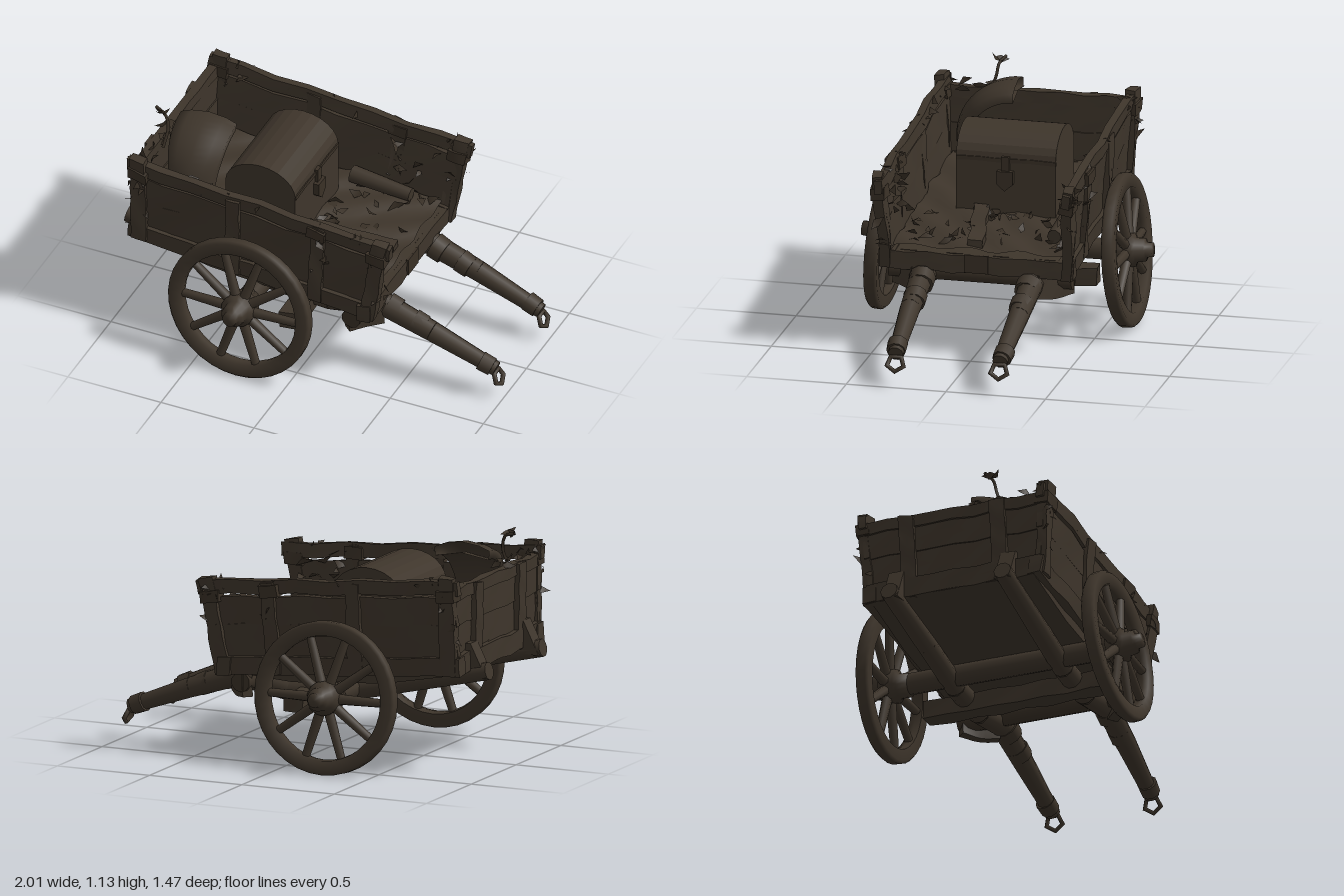
import * as THREE from 'three';
import { mergeGeometries } from 'three/addons/utils/BufferGeometryUtils.js';

const wood = new THREE.MeshStandardMaterial({ color: 0x3e352b, side: THREE.DoubleSide });
wood.name = 'weathered wood';
const dark = new THREE.MeshStandardMaterial({ color: 0x393026, side: THREE.DoubleSide });
dark.name = 'dark wood';

const V = (x, y, z) => new THREE.Vector3(x, y, z);
let seed = 7;
const rnd = () => (seed = (seed * 16807) % 2147483647) / 2147483647;
const span = (a, b) => a + (b - a) * rnd();

export function createModel() {
  const root = new THREE.Group();
  root.name = 'handcart';

  const add = (name, geo, mat = wood, parent = root) => {
    const m = new THREE.Mesh(geo, mat);
    m.name = name;
    parent.add(m);
    return m;
  };

  // Uneven, hand-hewn surface: the same position always gets the same offset
  const hew = (geo, amt) => {
    const p = geo.attributes.position;
    for (let i = 0; i < p.count; i++) {
      const x = p.getX(i), y = p.getY(i), z = p.getZ(i);
      p.setXYZ(i, x + amt * 0.5 * Math.sin(40 * y + 31 * z),
        y + amt * Math.sin(19 * x + 23 * z + 1), z + amt * Math.sin(27 * x + 11 * y));
    }
    geo.computeVertexNormals();
    return geo;
  };

  // Plank from a to b; h is measured along up, w across it
  const beam = (name, a, b, h, w, up = V(0, 1, 0), mat = wood, amt = 0.006) => {
    const x = b.clone().sub(a), len = x.length();
    x.normalize();
    const z = x.clone().cross(up).normalize(), y = z.clone().cross(x);
    const g = new THREE.BoxGeometry(len, h, w, 8, 2, 1);
    g.applyMatrix4(new THREE.Matrix4().makeBasis(x, y, z));
    g.translate((a.x + b.x) / 2, (a.y + b.y) / 2, (a.z + b.z) / 2);
    return add(name, hew(g, amt), mat);
  };

  // Round timber from a to b
  const log = (name, a, b, r1, r2, mat = wood, sides = 10, parent = root) => {
    const d = b.clone().sub(a);
    const g = new THREE.CylinderGeometry(r2, r1, d.length(), sides, 4);
    g.applyQuaternion(new THREE.Quaternion().setFromUnitVectors(V(0, 1, 0), d.normalize()));
    g.translate((a.x + b.x) / 2, (a.y + b.y) / 2, (a.z + b.z) / 2);
    return add(name, g, mat, parent);
  };

  const extrude = (pts, z0, z1) => {
    const s = new THREE.Shape(pts.map(([x, y]) => new THREE.Vector2(x, y)));
    return new THREE.ExtrudeGeometry(s, { depth: z1 - z0, bevelEnabled: false }).translate(0, 0, z0);
  };

  // The bed slopes down towards the shafts; the sides lean outwards
  const yAt = (x, h) => h - 0.085 * x;
  const zAt = h => 0.44 + (h - 0.5) * 0.08;
  const onSide = (x, h, s, out = 0) => V(x, yAt(x, h), s * (zAt(h) + out));

  // Bed with a shallow sagging underside, covered by uneven straw
  add('bed', extrude([[-0.91, 0.52], [-0.5, 0.44], [0.0, 0.4], [0.33, 0.42], [0.36, 0.5], [-0.9, 0.61]], -0.43, 0.43));
  const straw = new THREE.PlaneGeometry(1.24, 0.86, 24, 18).rotateX(-Math.PI / 2).rotateZ(-0.085);
  add('strawLayer', hew(straw, 0.01)).position.set(-0.27, 0.573, 0);
  beam('frontBeam', V(0.35, 0.455, -0.49), V(0.35, 0.455, 0.49), 0.09, 0.07);
  beam('axleBolster', V(-0.04, 0.31, -0.51), V(-0.04, 0.31, 0.51), 0.09, 0.1);
  log('frontRoller', V(0.27, 0.38, -0.46), V(0.27, 0.38, 0.46), 0.05, 0.05, dark);
  beam('rearBeam', V(-0.88, 0.57, -0.46), V(-0.88, 0.57, 0.46), 0.1, 0.07);
  beam('frontPlate', V(0.388, 0.46, -0.06), V(0.388, 0.46, 0.06), 0.09, 0.012, V(0, 1, 0), dark, 0);

  // Sides: boards, top rail and posts
  for (const s of [1, -1]) {
    const lean = V(0, 1, s * 0.08);
    beam('sill', onSide(-0.92, 0.49, s), onSide(0.38, 0.49, s), 0.09, 0.07, lean);
    beam('lowerBoard', onSide(-0.9, 0.61, s), onSide(0.39, 0.61, s), 0.17, 0.028, lean);
    beam('upperBoard', onSide(-0.9, 0.765, s), onSide(0.42, 0.765, s), 0.14, 0.03, lean);
    beam('topRail', onSide(-0.92, 0.885, s), onSide(0.49, 0.885, s), 0.07, 0.04, lean);
    for (const [x, top, dx, w] of [[-0.86, 0.94, 0, 0.08], [-0.36, 0.9, 0.01, 0.075],
      [0.08, 0.91, 0.03, 0.07], [0.36, 0.935, 0.08, 0.075]])
      beam('sidePost', onSide(x, 0.45, s, 0.018), onSide(x + dx, top, s, 0.005), w, 0.05, V(1, 0, 0));
    // Rope lashings around the posts
    for (const [x, h] of [[-0.86, 0.85], [0.1, 0.87], [0.42, 0.84]])
      beam('lashing', onSide(x - 0.05, h, s, 0.006), onSide(x + 0.05, h, s, 0.006), 0.06, 0.07, lean, dark);
  }

  // Tailgate
  for (const [y, h, w] of [[0.69, 0.15, 0.03], [0.83, 0.13, 0.03], [0.925, 0.06, 0.045]])
    beam('tailgateBoard', V(-0.87 - (y - 0.6) * 0.05, y, -0.46), V(-0.87 - (y - 0.6) * 0.05, y, 0.46), h, w);
  for (const z of [-0.24, 0.24]) beam('tailgatePost', V(-0.89, 0.52, z), V(-0.905, 0.95, z), 0.08, 0.04, V(0, 0, 1));

  // Bowed shafts with bindings and end rings
  for (const s of [1, -1]) {
    const path = [[-1, 0.525, 0.3], [-0.55, 0.425, 0.29], [-0.2, 0.345, 0.285], [0.08, 0.325, 0.28],
      [0.36, 0.38, 0.275], [0.62, 0.29, 0.272], [0.96, 0.16, 0.262]];
    const rad = [0.045, 0.05, 0.052, 0.055, 0.06, 0.052, 0.038];
    const pts = path.map(([x, y, z]) => V(x, y, s * z));
    for (let i = 0; i < 6; i++) log('shaft', pts[i], pts[i + 1], rad[i], rad[i + 1]);
    for (const [x, y, r] of [[0.41, 0.365, 0.066], [0.55, 0.315, 0.059], [0.91, 0.18, 0.05]])
      log('shaftBinding', V(x - 0.03, y + 0.012, s * 0.27), V(x + 0.03, y - 0.012, s * 0.265), r, r * 0.95);
    add('shaftTail', extrude([[-1, 0.49], [-0.88, 0.5], [-0.88, 0.66], [-0.915, 0.66]], s * 0.295 - 0.04, s * 0.295 + 0.04));
    const ring = add('shaftRing', new THREE.TorusGeometry(0.04, 0.012, 6, 5).rotateZ(-Math.PI / 2).scale(1.1, 1, 1).rotateX(-0.4).rotateY(Math.PI / 2));
    ring.position.set(0.972, 0.115, s * 0.26);
    beam('shaftBracket', V(0.24, 0.36, s * 0.44), V(0.37, 0.36, s * 0.3), 0.12, 0.05);
  }

  // Axle and cambered wheels
  log('axle', V(-0.26, 0.375, -0.52), V(-0.26, 0.375, 0.52), 0.055, 0.055);
  for (const s of [1, -1]) {
    const turn = new THREE.Group();
    turn.name = 'wheelMount';
    turn.position.set(-0.26, 0.378, 0);
    turn.rotation.y = s > 0 ? 0 : Math.PI;
    const wheel = new THREE.Group();
    wheel.name = 'wheel';
    wheel.position.z = 0.597;
    wheel.rotation.x = -0.088;
    turn.add(wheel);
    root.add(turn);
    const rim = [[0.308, -0.03], [0.366, -0.034], [0.379, -0.02], [0.379, 0.02], [0.366, 0.034], [0.308, 0.03], [0.303, 0], [0.308, -0.03]]
      .map(([r, y]) => new THREE.Vector2(r, y));
    add('rim', new THREE.LatheGeometry(rim, 36).rotateX(Math.PI / 2), wood, wheel);
    for (let i = 0; i < 10; i++) {
      const a = i * Math.PI / 5;
      log('spoke', V(0.04 * Math.cos(a), 0.04 * Math.sin(a), 0.01),
        V(0.32 * Math.cos(a), 0.32 * Math.sin(a), 0), 0.027, 0.021, wood, 7, wheel);
    }
    const hub = [[0, -0.1], [0.06, -0.1], [0.062, -0.045], [0.085, -0.035], [0.085, 0.04], [0.062, 0.05],
      [0.058, 0.095], [0.038, 0.1], [0.036, 0.133], [0, 0.135]].map(([r, y]) => new THREE.Vector2(r, y));
    add('hub', new THREE.LatheGeometry(hub, 14).rotateX(Math.PI / 2), wood, wheel);
  }

  // Chest with a domed lid
  const dome = (x0, x1, yb, ys, yt) => {
    const pts = [[x0, yb], [x1, yb]];
    for (let i = 0; i <= 12; i++) {
      const a = i * Math.PI / 12;
      pts.push([(x0 + x1) / 2 + (x1 - x0) / 2 * Math.cos(a), ys + (yt - ys) * Math.sin(a)]);
    }
    return pts;
  };
  add('chest', extrude(dome(-0.51, -0.135, 0.54, 0.83, 0.97), -0.27, 0.23));
  beam('lidSeam', V(-0.137, 0.83, -0.27), V(-0.137, 0.83, 0.23), 0.02, 0.012, V(0, 1, 0), dark, 0.002);
  beam('claspStrap', V(-0.13, 0.75, -0.02), V(-0.13, 0.85, -0.02), 0.04, 0.02, V(0, 0, 1), dark, 0);
  const lock = extrude([[-0.04, 0.78], [-0.04, 0.715], [0, 0.68], [0.04, 0.715], [0.04, 0.78]], 0, 0.03);
  add('claspLock', lock.rotateY(Math.PI / 2).translate(-0.135, 0, -0.02), dark);

  // Curved piece of a broken barrel, narrowing towards the side
  const stave = [[0.22, -0.14], [0.265, -0.145], [0.287, -0.09], [0.3, 0], [0.287, 0.09], [0.265, 0.145], [0.22, 0.14], [0.245, 0], [0.22, -0.14]]
    .map(([r, y]) => new THREE.Vector2(r, y));
  const shell = new THREE.LatheGeometry(stave, 18, -0.7, 2.3).rotateZ(Math.PI / 2);
  const sp = shell.attributes.position;
  for (let i = 0; i < sp.count; i++) sp.setX(i, sp.getX(i) * (1 - 0.45 * (sp.getZ(i) / 0.3) ** 4));
  shell.computeVertexNormals();
  const barrel = add('brokenBarrel', shell);
  barrel.position.set(-0.68, 0.77, 0.06);
  barrel.rotation.y = 0.06;

  // Loose cargo
  beam('loosePlank', V(-0.13, 0.58, 0.1), V(0.31, 0.535, 0.02), 0.04, 0.075);
  log('bundle', V(-0.1, 0.6, -0.36), V(0.22, 0.575, -0.35), 0.045, 0.035);

  // Leaves: bent diamonds scattered on rails, posts and floor
  const leaves = [];
  const leaf = (p, size) => {
    const g = new THREE.PlaneGeometry(size, size * 0.5, 2, 2);
    const q = g.attributes.position;
    for (let i = 0; i < q.count; i++) {
      const t = Math.abs(q.getX(i)) / size * 2;
      q.setY(i, q.getY(i) * (1 - t));
      q.setZ(i, -0.2 * size * t);
    }
    g.computeVertexNormals();
    g.rotateX(span(0, 6)).rotateY(span(0, 6)).rotateZ(span(-1, 1)).translate(p.x, p.y, p.z);
    leaves.push(g);
  };
  for (const s of [1, -1]) {
    for (let i = 0; i < 16; i++) leaf(onSide(span(-0.9, 0.45), span(0.87, 0.92), s, span(-0.03, 0.02)), span(0.05, 0.1));
    for (const x of [-0.87, 0.12, 0.42])
      for (let i = 0; i < 7; i++) leaf(onSide(x + span(-0.05, 0.04), span(0.55, 0.9), s, span(0, 0.04)), span(0.06, 0.1));
    for (let i = 0; i < 10; i++) leaf(onSide(span(0.1, 0.4), span(0.57, 0.85), s, -0.04), span(0.06, 0.1));
  }
  for (let i = 0; i < 45; i++) {
    const x = span(-0.1, 0.33);
    leaf(V(x, yAt(x, 0.565), span(-0.4, 0.4)), span(0.05, 0.1));
  }
  for (let i = 0; i < 8; i++) leaf(V(span(-0.9, -0.8), span(0.95, 1.0), span(0.1, 0.4)), 0.08);
  leaf(V(-0.86, 1.1, 0.2), 0.1);
  leaf(V(-0.89, 1.1, 0.19), 0.08);
  add('leaves', mergeGeometries(leaves), dark);
  const stem = new THREE.CatmullRomCurve3([V(-0.84, 0.93, 0.24), V(-0.83, 1.03, 0.2), V(-0.85, 1.09, 0.19), V(-0.91, 1.11, 0.17)]);
  add('sprigStem', new THREE.TubeGeometry(stem, 10, 0.008, 5), dark);

  return root;
}
